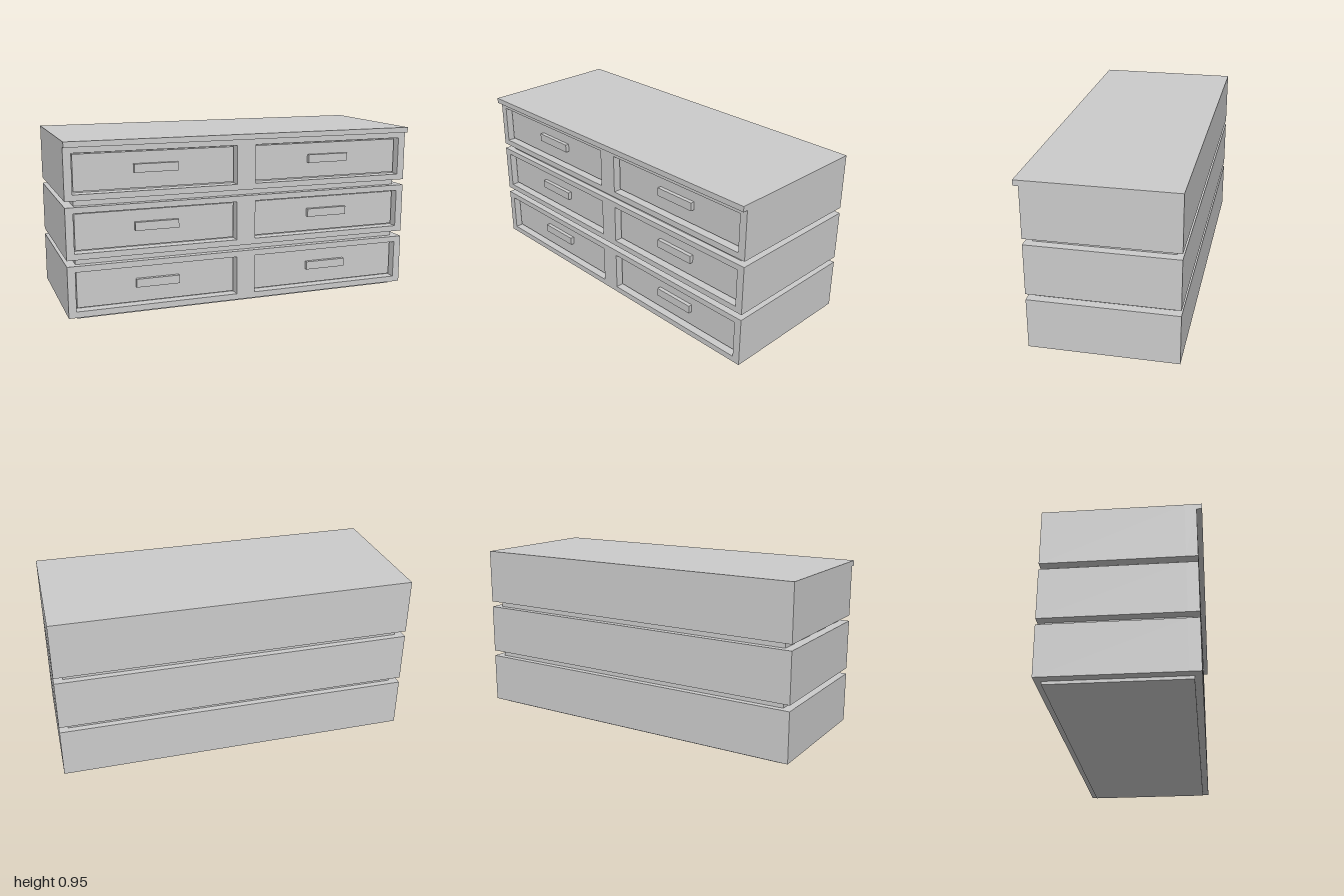
import * as THREE from 'three';

const material = new THREE.MeshStandardMaterial({ color: 0xcccccc, flatShading: true });

// Box given by its minimum and maximum on each axis
function box(name, [x0, x1], [y0, y1], [z0, z1]) {
  const geometry = new THREE.BoxGeometry(x1 - x0, y1 - y0, z1 - z0);
  geometry.translate((x0 + x1) / 2, (y0 + y1) / 2, (z0 + z1) / 2);
  const mesh = new THREE.Mesh(geometry, material);
  mesh.name = name;
  return mesh;
}

function rectangle(path, x0, x1, y0, y1) {
  path.moveTo(x0, y0);
  path.lineTo(x1, y0);
  path.lineTo(x1, y1);
  path.lineTo(x0, y1);
  path.closePath();
  return path;
}

const BACK = -0.413, FRONT = 0.385, INNER = 0.325;
const PANEL = 0.35, GAP = 0.01;
const OPEN_W = 0.904, OPEN_H = 0.215, OPEN_X = 0.506;

// One tier: solid carcass, front frame with two openings, drawers and handles
function createTier(y0, y1) {
  const tier = new THREE.Group();
  tier.name = 'tier';
  tier.add(box('carcass', [-1, 1], [y0, y1], [BACK, INNER]));

  const low = y0 + 0.033, high = low + OPEN_H;
  const outline = rectangle(new THREE.Shape(), -1, 1, y0, y1);
  for (const side of [-1, 1]) {
    const cx = side * OPEN_X, x0 = cx - OPEN_W / 2, x1 = cx + OPEN_W / 2;
    outline.holes.push(rectangle(new THREE.Path(), x0, x1, low, high));

    const drawer = new THREE.Group();
    drawer.name = side < 0 ? 'rightDrawer' : 'leftDrawer';
    const cy = (low + high) / 2 - 0.005 + 0.015;
    drawer.add(
      box('drawerPanel', [x0 + GAP, x1 - GAP], [low + GAP, high - GAP], [INNER, PANEL]),
      box('handle', [cx - 0.121, cx + 0.121], [cy - 0.023, cy + 0.023], [PANEL, PANEL + 0.022])
    );
    tier.add(drawer);
  }
  const geometry = new THREE.ExtrudeGeometry(outline, { depth: FRONT - INNER, bevelEnabled: false });
  geometry.translate(0, 0, INNER);
  const frame = new THREE.Mesh(geometry, material);
  frame.name = 'frontFrame';
  tier.add(frame);
  return tier;
}

export function createModel() {
  const model = new THREE.Group();
  model.name = 'dresser';

  // Three stacked tiers
  const tiers = [[0.017, 0.298], [0.331, 0.611], [0.644, 0.955]];
  for (const [y0, y1] of tiers) model.add(createTier(y0, y1));

  // Recessed plinth and the spacers between tiers
  [[0, 0.017], [0.298, 0.331], [0.611, 0.644]].forEach((span, i) => {
    model.add(box(i ? 'spacer' : 'plinth', [-0.95, 0.95], span, [-0.378, 0.348]));
  });

  // Lip of the top along the front
  model.add(box('topLip', [-1, 1], [0.925, 0.955], [FRONT, 0.413]));
  return model;
}
